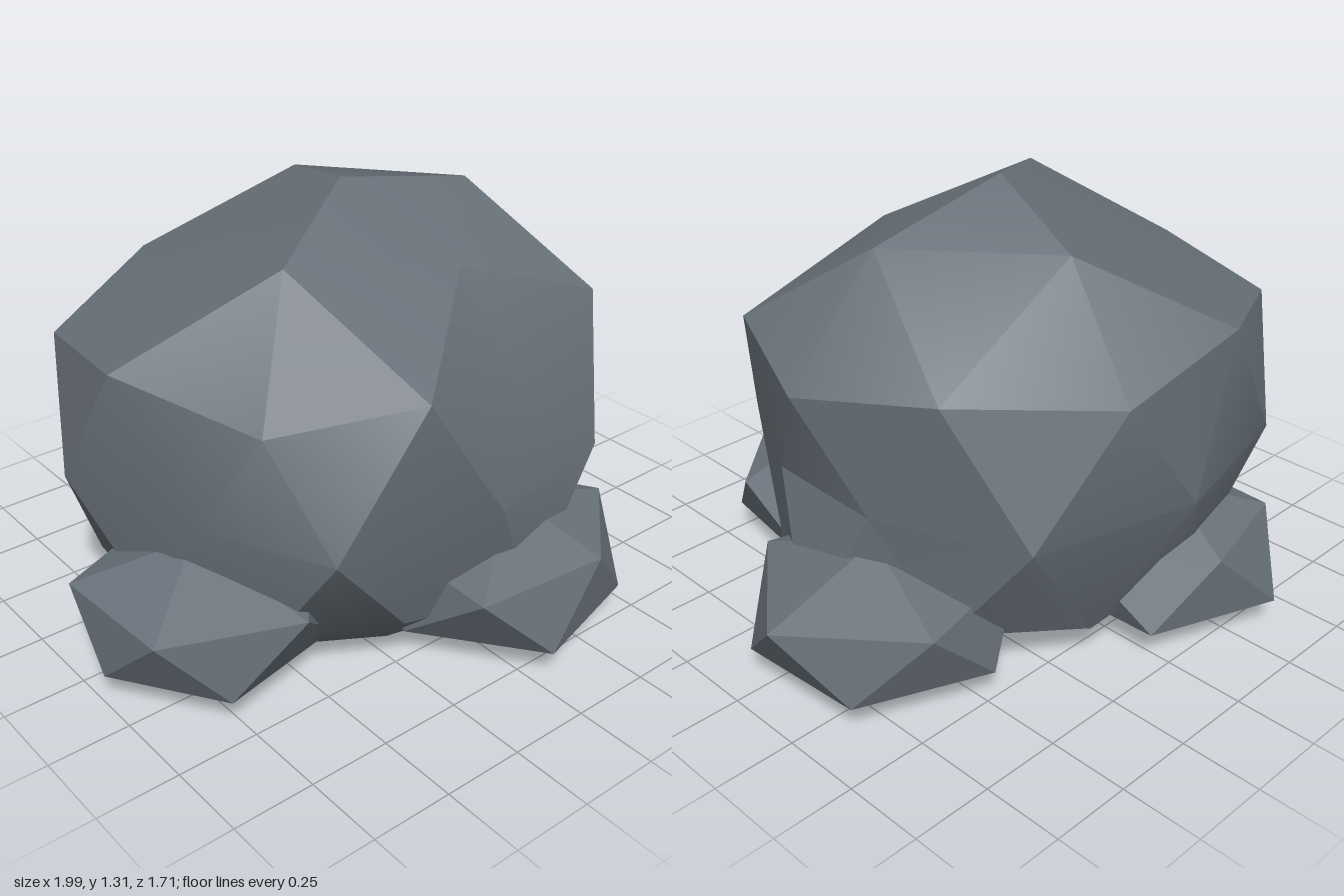
import * as THREE from 'three';
import { toCreasedNormals } from 'three/addons/utils/BufferGeometryUtils.js';

const STEP = Math.PI / 5;

// Collects triangles into a non-indexed geometry
function fromTriangles(tris) {
  const g = new THREE.BufferGeometry();
  g.setAttribute('position', new THREE.Float32BufferAttribute(tris.flat(2), 3));
  g.computeVertexNormals();
  return g;
}

// Big boulder: a ten-sided faceted dome with some corners chipped back
function boulderGeometry() {
  const RX = 0.93, RZ = 0.83, CX = -0.05;
  // Elliptical ring; fn gives turn (36 degree steps from +x towards +z), height and radius
  const ring = (n, fn) => Array.from({ length: n }, (_, i) => {
    const [turn, y, r] = fn(i);
    return [CX + r * RX * Math.cos(turn * STEP), y, r * RZ * Math.sin(turn * STEP)];
  });
  const top = [CX, 1.31, 0], bottom = [CX, 0, 0];
  const A = ring(5, k => [2 * k, 1.21, 0.526]);
  const B = ring(10, i => (i % 2 ? [i, 0.93, 0.851] : [i, 0.88, 0.88]));
  const C = ring(10, i => [i + 0.5, 0.53, 0.95]);
  const D = ring(10, i => (i % 2 ? [i, 0.18, 0.78] : [i, 0.12, 0.74]));
  const E = ring(5, k => [2 * k + 1, 0, 0.45]);

  // Chipped corners
  A[1] = [0.08, 1.12, 0.37];
  A[3] = [-0.45, 1.045, -0.26];
  B[0] = [0.75, 0.87, 0];
  B[2] = [0.16, 0.81, 0.55];
  B[4] = [-0.63, 0.83, 0.4];
  B[6] = [-0.76, 0.87, -0.45];
  B[7] = [-0.3, 0.955, -0.69];
  B[8] = [0.21, 0.9, -0.73];
  C[0] = [0.64, 0.53, 0.21];
  C[1] = [0.44, 0.53, 0.6];
  C[2] = [-0.04, 0.53, 0.7];
  C[3] = [-0.57, 0.53, 0.63];
  C[4] = [-0.75, 0.53, 0.24];
  C[5] = [-0.88, 0.53, -0.23];
  C[7] = [-0.05, 0.53, -0.77];
  C[9] = [0.65, 0.53, -0.19];
  D[0] = [0.75, 0.12, 0];
  D[2] = [0.18, 0.12, 0.62];
  D[3] = [-0.28, 0.19, 0.57];
  D[4] = [-0.59, 0.12, 0.33];
  D[5] = [-0.77, 0.18, 0];
  D[6] = [-0.69, 0.12, -0.41];
  E[1] = [-0.19, 0, 0.39];

  const t = [];
  // Crown and underside
  for (let k = 0; k < 5; k++) {
    const n = (k + 1) % 5, i = 2 * k, j = (i + 2) % 10, h = (i + 9) % 10;
    t.push([top, A[n], A[k]], [A[k], A[n], B[i + 1]]);
    t.push([A[k], B[i + 1], B[i]], [A[k], B[i], B[h]]);
    t.push([bottom, E[k], E[n]], [E[k], D[j], E[n]]);
    t.push([E[k], D[i], D[i + 1]], [E[k], D[i + 1], D[j]]);
  }
  // Side belts
  for (let i = 0; i < 10; i++) {
    const n = (i + 1) % 10, p = (i + 9) % 10;
    t.push([B[i], B[n], C[i]], [B[i], C[i], C[p]]);
    t.push([D[n], D[i], C[i]], [D[i], C[p], C[i]]);
  }
  return toCreasedNormals(fromTriangles(t), 0.45);
}

// Small stone: an uneven twenty-sided solid between two tips, from two rings of [x, z] corners
function stoneGeometry([x, z], upper, lower) {
  const top = [x, 0.42, z], bottom = [x, 0, z], t = [];
  const U = upper.map(p => [p[0], 0.305, p[1]]);
  const L = lower.map(p => [p[0], 0.095, p[1]]);
  for (let k = 0; k < 5; k++) {
    const n = (k + 1) % 5;
    t.push([top, U[n], U[k]], [U[k], U[n], L[k]]);
    t.push([U[n], L[n], L[k]], [bottom, L[k], L[n]]);
  }
  return fromTriangles(t);
}

// Stones around the foot: tip, upper corners, lower corners
const STONES = {
  frontStone: [[0.17, 0.51],
    [[0.55, 0.54], [0.26, 0.81], [-0.17, 0.77], [-0.15, 0.25], [0.29, 0.1]],
    [[0.44, 0.74], [0.04, 0.85], [-0.22, 0.5], [0.05, 0.11], [0.51, 0.29]]],
  leftStone: [[0.6, -0.15],
    [[0.99, -0.16], [0.71, 0.21], [0.28, 0.09], [0.28, -0.4], [0.7, -0.5]],
    [[0.9, 0.06], [0.48, 0.21], [0.2, -0.15], [0.48, -0.51], [0.87, -0.35]]],
  rightStone: [[-0.69, 0.13],
    [[-0.27, 0.13], [-0.58, 0.52], [-0.97, 0.36], [-0.99, -0.05], [-0.53, -0.24]],
    [[-0.36, 0.36], [-0.79, 0.45], [-1, 0.13], [-0.8, -0.22], [-0.38, -0.12]]],
  backStone: [[-0.24, -0.52],
    [[0.12, -0.49], [-0.12, -0.14], [-0.53, -0.27], [-0.51, -0.7], [-0.15, -0.8]],
    [[0.06, -0.28], [-0.32, -0.13], [-0.57, -0.52], [-0.36, -0.86], [0.04, -0.71]]],
};

export function createModel() {
  const group = new THREE.Group();
  group.name = 'rockCluster';
  const slate = new THREE.MeshStandardMaterial({ color: 0x69727a });
  slate.name = 'slate grey';

  const add = (name, geometry) => {
    const mesh = new THREE.Mesh(geometry, slate);
    mesh.name = name;
    group.add(mesh);
  };
  add('boulder', boulderGeometry());
  for (const [name, corners] of Object.entries(STONES)) add(name, stoneGeometry(...corners));
  return group;
}
